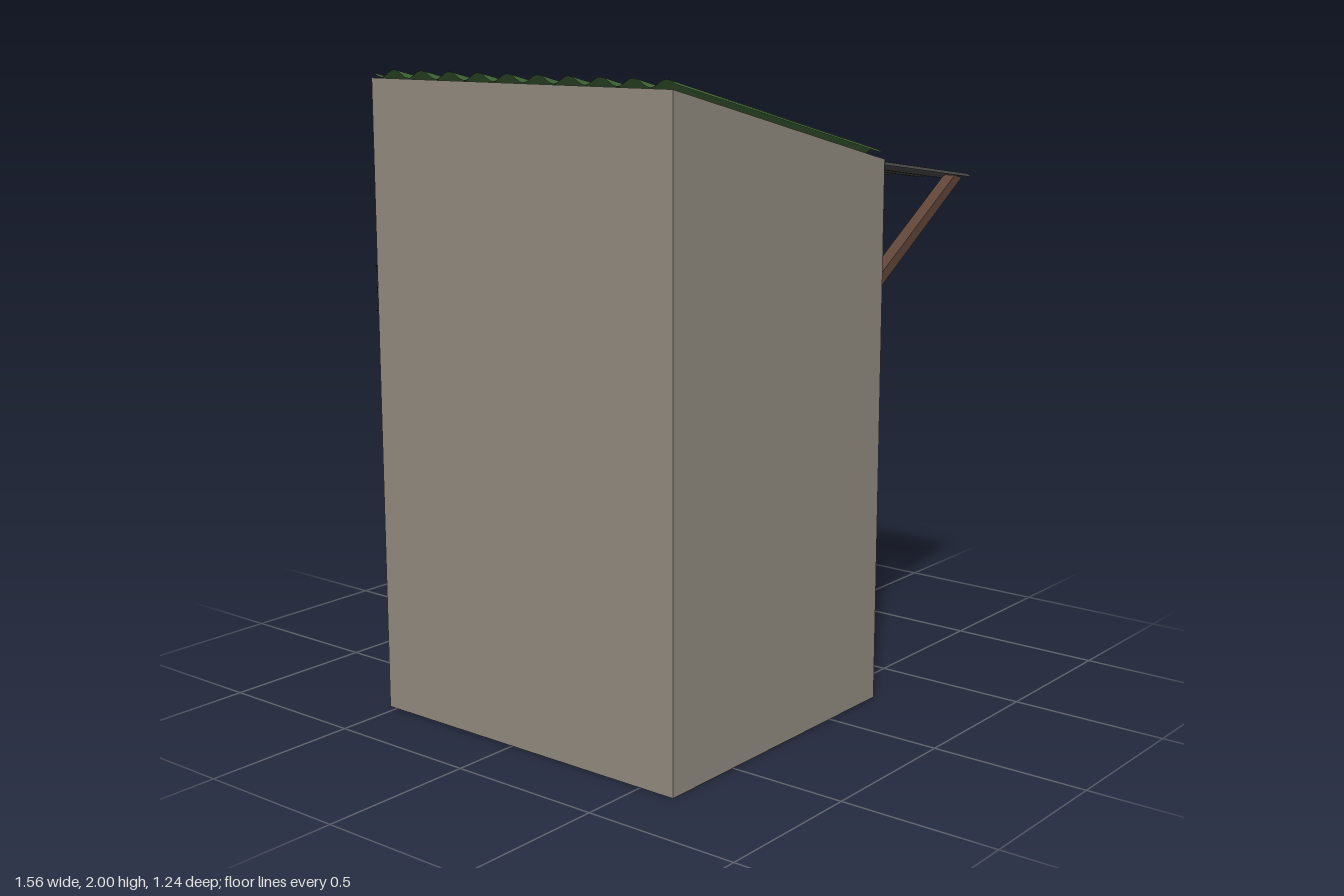
import * as THREE from 'three';

const mat = (name, color) => Object.assign(new THREE.MeshStandardMaterial({ color }), { name });

export function createModel() {
  const model = new THREE.Group();
  model.name = 'townhouse';
  const M = {
    wall: mat('plaster', 0x918a7f),
    green: mat('green roofing', 0x3f6336),
    dark: mat('dark grey', 0x454545),
    glass: mat('window glass', 0x9297da),
    door: mat('door brown', 0x5c3424),
    wood: mat('bracket wood', 0x5e4438),
    tan: mat('sandy yellow', 0xaca264),
    lens: mat('meter glass', 0x8fa9de),
    black: mat('cable black', 0x0b0b0b),
  };
  M.green.side = M.dark.side = THREE.DoubleSide;

  const add = (name, geo, material, x = 0, y = 0, z = 0) => {
    const m = new THREE.Mesh(geo, material);
    m.name = name;
    m.position.set(x, y, z);
    model.add(m);
    return m;
  };
  // box given by its x, y and z ranges
  const box = (name, material, x0, x1, y0, y1, z0, z1) =>
    add(name, new THREE.BoxGeometry(x1 - x0, y1 - y0, z1 - z0), material,
      (x0 + x1) / 2, (y0 + y1) / 2, (z0 + z1) / 2);
  const poly = (pts) => new THREE.Shape(pts.map((p) => new THREE.Vector2(...p)));
  // side profile extruded from z0 to z1
  const slab = (name, material, pts, z0, z1) =>
    add(name, new THREE.ExtrudeGeometry(poly(pts), { depth: z1 - z0, bevelEnabled: false }),
      material, 0, 0, z0);

  // side walls
  const side = [[-0.78, 0], [0.25, 0], [0.25, 1.725], [-0.78, 1.974]];
  slab('rightSideWall', M.wall, side, -0.53, -0.44);
  slab('leftSideWall', M.wall, side, 0.54, 0.62);

  // body with the porch and balcony recesses
  slab('body', M.wall, [
    [-0.78, 0], [0.25, 0], [0.25, 0.03], [0.1, 0.03], [0.1, 0.83], [0.25, 0.83],
    [0.25, 0.91], [-0.17, 0.91], [-0.17, 1.65], [0.25, 1.65], [0.25, 1.725], [-0.78, 1.974],
  ], -0.44, 0.54);

  // storey fronts: plates with a window hole and a door notch
  const storeyFront = (name, x, y, height, sill, top) => {
    const s = poly([[-0.54, 0], [0.11, 0], [0.11, top], [0.44, top], [0.44, height], [-0.54, height]]);
    s.holes.push(poly([[-0.48, sill], [-0.15, sill], [-0.15, top], [-0.48, top]]));
    const g = new THREE.ExtrudeGeometry(s, { depth: 0.03, bevelEnabled: false }).rotateY(Math.PI / 2);
    add(name, g, M.wall, x, y, 0);
    box(name + 'Window', M.glass, x, x + 0.006, y + sill, y + top, 0.15, 0.48);
  };
  storeyFront('groundFloorFront', 0.1, 0.03, 0.8, 0.24, 0.5);
  storeyFront('upperFloorFront', -0.17, 0.91, 0.74, 0.25, 0.52);

  // ground floor door
  box('groundDoor', M.wall, 0.1, 0.115, 0.03, 0.53, -0.44, -0.11);
  box('groundDoorPane', M.dark, 0.115, 0.119, 0.3, 0.51, -0.41, -0.15);
  box('groundDoorHandle', M.tan, 0.115, 0.145, 0.25, 0.31, -0.14, -0.122);

  // upper door
  box('upperDoor', M.door, -0.17, -0.155, 0.91, 1.43, -0.44, -0.11);
  for (const [y0, y1] of [[0.94, 1.16], [1.19, 1.41]])
    box('upperDoorPanel', M.door, -0.155, -0.149, y0, y1, -0.41, -0.15);
  add('upperDoorKnob', new THREE.SphereGeometry(0.016, 16, 12), M.tan, -0.14, 1.178, -0.137);

  // balcony rail and balusters
  box('balconyRail', M.wall, 0.15, 0.25, 1.12, 1.145, -0.44, 0.54);
  box('balconyRailCap', M.wall, 0.14, 0.25, 1.145, 1.16, -0.44, 0.54);
  const profile = [
    [0, 0], [0.042, 0], [0.042, 0.022], [0.03, 0.026], [0.03, 0.042], [0.026, 0.046], [0.032, 0.07],
    [0.031, 0.09], [0.023, 0.125], [0.015, 0.155], [0.014, 0.175], [0.021, 0.182], [0.021, 0.19],
    [0.015, 0.195], [0.019, 0.21],
  ].map((p) => new THREE.Vector2(...p));
  const baluster = new THREE.LatheGeometry(profile, 20);
  for (let i = 0; i < 8; i++) add('baluster', baluster, M.tan, 0.2, 0.91, 0.472 - i * 0.1213);

  // ceiling lamp with two tubes
  box('ceilingLampBase', M.tan, 0.05, 0.12, 1.64, 1.65, -0.26, 0.27);
  for (const x of [0.065, 0.105])
    add('ceilingLampTube', new THREE.CylinderGeometry(0.011, 0.011, 0.52, 12).rotateX(Math.PI / 2),
      M.tan, x, 1.63, 0.005);

  // corrugated sheets sloping along x
  const sheet = (name, material, x0, y0, x1, y1) => {
    const g = new THREE.PlaneGeometry(1, 1, 4, 120).rotateX(-Math.PI / 2);
    const p = g.attributes.position;
    for (let i = 0; i < p.count; i++) {
      const t = p.getX(i) + 0.5, v = p.getZ(i) + 0.5;
      const wave = -0.012 * Math.sin(v * 20 * Math.PI);
      p.setXYZ(i, x0 + (x1 - x0) * t, y0 + (y1 - y0) * t + wave, -0.53 + 1.15 * v);
    }
    g.computeVertexNormals();
    add(name, g, material);
  };
  sheet('roof', M.green, -0.77, 1.988, 0.24, 1.744);
  sheet('awning', M.dark, 0.25, 1.708, 0.78, 1.632);

  // awning brackets
  for (const z of [-0.48, 0.575])
    slab('awningBracket', M.wood, [
      [0.25, 1.325], [0.28, 1.325], [0.755, 1.632], [0.71, 1.642], [0.27, 1.36], [0.25, 1.36],
    ], z - 0.02, z + 0.02);

  // electricity meters
  for (const x of [-0.577, -0.401, -0.23]) {
    box('meterBox', M.dark, x - 0.075, x + 0.075, 0.31, 0.5, -0.588, -0.53);
    add('meterLens', new THREE.CylinderGeometry(0.061, 0.061, 0.037, 32).rotateX(Math.PI / 2),
      M.lens, x, 0.405, -0.606);
  }

  // cables running up from the meters to the rear corner
  const cables = [
    [[-0.23, 0.49], [-0.23, 0.8], [-0.235, 1.12], [-0.285, 1.27], [-0.37, 1.345], [-0.57, 1.39], [-0.78, 1.4]],
    [[-0.405, 0.49], [-0.365, 0.78], [-0.335, 0.96], [-0.365, 1.12], [-0.45, 1.255], [-0.575, 1.315], [-0.78, 1.335]],
    [[-0.565, 0.49], [-0.515, 0.78], [-0.46, 0.915], [-0.455, 1.03], [-0.51, 1.14], [-0.62, 1.235], [-0.78, 1.28]],
  ];
  for (const pts of cables) {
    const curve = new THREE.CatmullRomCurve3(pts.map(([x, y]) => new THREE.Vector3(x, y, -0.54)));
    add('cable', new THREE.TubeGeometry(curve, 50, 0.009, 8), M.black);
  }
  return model;
}
